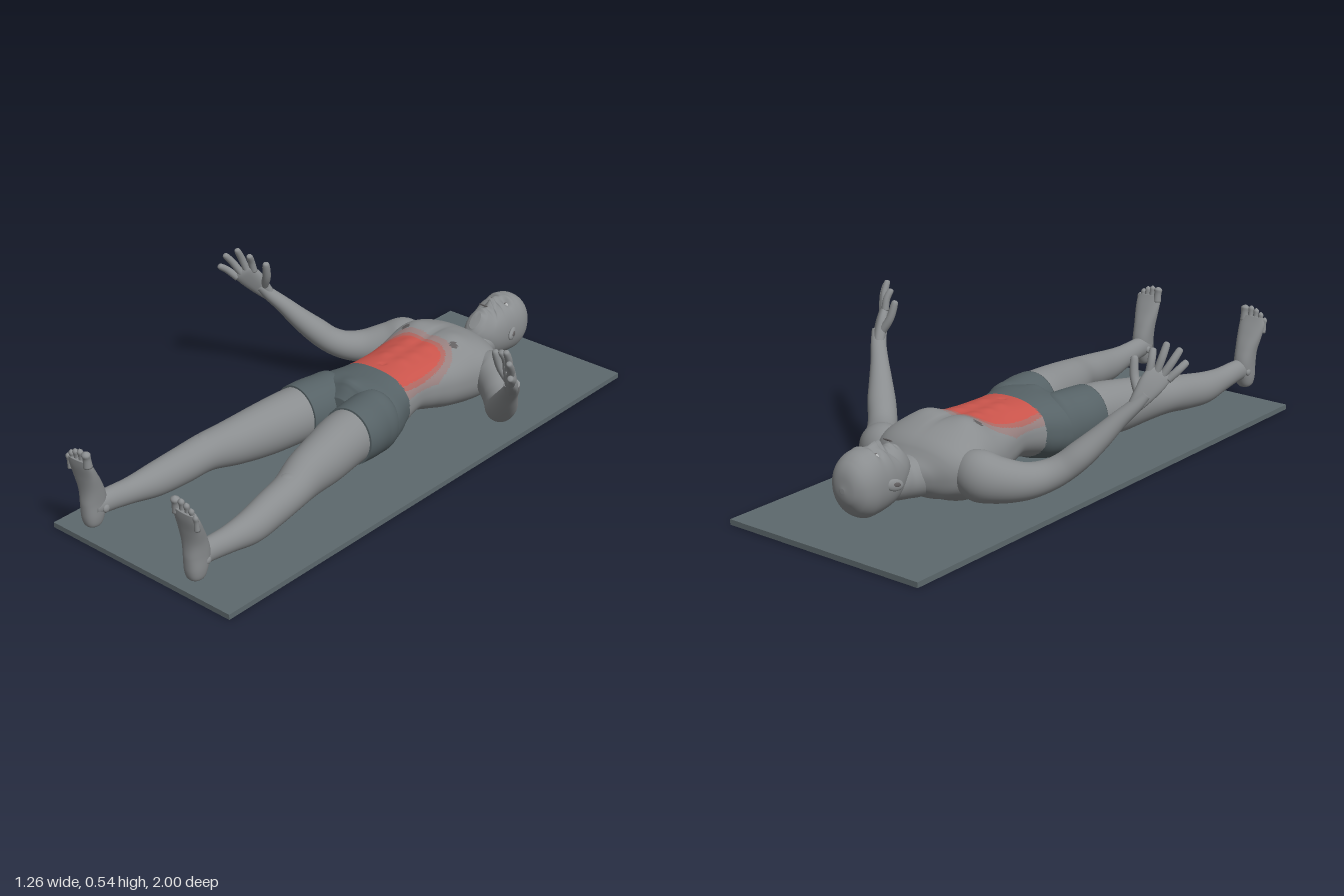
import * as THREE from 'three';

const mat = (name, color) => Object.assign(new THREE.MeshStandardMaterial({ color }), { name });

// Uniform Catmull-Rom through rows of numbers
function sample(rows, t) {
  const n = rows.length - 1, i = Math.min(Math.floor(t * n), n - 1), f = t * n - i;
  const a = rows[Math.max(i - 1, 0)], b = rows[i], c = rows[i + 1], d = rows[Math.min(i + 2, n)];
  return b.map((_, k) => 0.5 * (2 * b[k] + (c[k] - a[k]) * f + (2 * a[k] - 5 * b[k] + 4 * c[k] - d[k]) * f * f
    + (3 * b[k] - a[k] - 3 * c[k] + d[k]) * f * f * f));
}

// Smooth skin over sections [x, y, z, a, b]; deform moves points, pick chooses a material index
function loft(name, rows, materials, { ref = [0, 1, 0], steps = 48, sides = 32, n = 2, deform, pick } = {}) {
  const pos = [], R = new THREE.Vector3(...ref);
  const at = t => { const s = sample(rows, t); return { c: new THREE.Vector3(s[0], s[1], s[2]), a: Math.max(s[3], 0.001), b: Math.max(s[4], 0.001) }; };
  const add = p => { if (deform) deform(p); pos.push(p.x, p.y, p.z); };
  const sp = v => Math.sign(v) * Math.pow(Math.abs(v), 2 / n);
  for (let i = 0; i <= steps; i++) {
    const t = i / steps, { c, a, b } = at(t);
    const T = at(Math.min(1, t + 0.01)).c.sub(at(Math.max(0, t - 0.01)).c).normalize();
    const U = R.clone().cross(T).normalize(), V = T.clone().cross(U);
    for (let j = 0; j < sides; j++) {
      const q = j / sides * Math.PI * 2;
      add(c.clone().addScaledVector(U, a * sp(Math.cos(q))).addScaledVector(V, b * sp(Math.sin(q))));
    }
  }
  const start = pos.length / 3;
  add(at(0).c); add(at(1).c);
  const lists = [].concat(materials).map(() => []);
  const tri = (...v) => {
    const mid = k => (pos[v[0] * 3 + k] + pos[v[1] * 3 + k] + pos[v[2] * 3 + k]) / 3;
    lists[pick ? pick(mid(0), mid(1), mid(2)) : 0].push(...v);
  };
  for (let j = 0; j < sides; j++) {
    const k = (j + 1) % sides, e = steps * sides;
    for (let i = 0; i < steps; i++) {
      const o = i * sides, u = o + sides;
      tri(o + j, o + k, u + k); tri(o + j, u + k, u + j);
    }
    tri(start, k, j); tri(start + 1, e + j, e + k);
  }
  const g = new THREE.BufferGeometry();
  g.setAttribute('position', new THREE.Float32BufferAttribute(pos, 3));
  g.setIndex(lists.flat());
  if (pick) { let o = 0; lists.forEach((l, m) => { g.addGroup(o, l.length, m); o += l.length; }); }
  g.computeVertexNormals();
  const mesh = new THREE.Mesh(g, materials);
  mesh.name = name;
  return mesh;
}

const bump = (x, z, cx, cz, sx, sz) => Math.exp(-(((x - cx) / sx) ** 2) - ((z - cz) / sz) ** 2);

export function createModel() {
  const skin = mat('skin', 0x8a8d8f), shorts = mat('shorts', 0x566266), matGrey = mat('matGrey', 0x5d696d);
  const red = mat('highlightRed', 0xc9544b), fade = mat('highlightEdge', 0xae6761), faint = mat('highlightFaint', 0x97807f);
  const dark = mat('darkSkin', 0x625f60), white = mat('eyeWhite', 0xb4b6b7);
  const body = new THREE.Group();
  body.name = 'lyingFigure';

  // Mat
  const floor = new THREE.Mesh(new THREE.BoxGeometry(0.76, 0.018, 1.975), matGrey);
  floor.name = 'mat';
  floor.position.set(0, 0.009, -0.0125);
  body.add(floor);

  const ball = (name, m, p, s) => {
    const b = new THREE.Mesh(new THREE.SphereGeometry(1, 20, 14), m);
    b.name = name; b.position.set(...p); b.scale.set(...s);
    body.add(b);
    return b;
  };
  // Sections along z given as [z, halfWidth, top, bottom]
  const alongZ = rows => rows.map(([z, w, t, b]) => [0, (t + b) / 2, z, w, (t - b) / 2]);

  // Torso: chest and belly relief, highlighted abdomen, shorts below the waist
  body.add(loft('torso', alongZ([
    [-0.63, 0.05, 0.165, 0.085], [-0.605, 0.1, 0.19, 0.07], [-0.575, 0.155, 0.22, 0.05], [-0.53, 0.195, 0.255, 0.034],
    [-0.48, 0.2, 0.274, 0.025], [-0.42, 0.19, 0.276, 0.027], [-0.35, 0.175, 0.268, 0.04], [-0.28, 0.156, 0.264, 0.06],
    [-0.2, 0.141, 0.262, 0.078], [-0.115, 0.152, 0.26, 0.063], [-0.05, 0.176, 0.262, 0.04], [0, 0.187, 0.257, 0.033],
    [0.035, 0.165, 0.245, 0.045], [0.07, 0.07, 0.21, 0.09]]),
  [skin, shorts, red, fade, faint, dark], {
    steps: 150, sides: 128, n: 2.35,
    deform(p) {
      const x = Math.abs(p.x), z = p.z;
      if (p.y > 0.17) {
        const w = Math.min(1, (p.y - 0.17) / 0.06);
        p.y += w * (0.016 * bump(x, z, 0.085, -0.425, 0.06, 0.05) - 0.006 * bump(x, z, 0, -0.42, 0.012, 0.08)
          + 0.005 * bump(x, z, 0.04, -0.33, 0.025, 0.022) + 0.005 * bump(x, z, 0.038, -0.27, 0.025, 0.022)
          + 0.005 * bump(x, z, 0.036, -0.21, 0.025, 0.022) - 0.008 * bump(x, z, 0, -0.153, 0.007, 0.007)
          + 0.012 * bump(x, z, 0, 0.03, 0.035, 0.04));
      } else if (z < -0.05) p.y += 0.008 * bump(x, z, 0, -0.3, 0.02, 0.25);
    },
    pick(x, y, z) {
      if (z > -0.115) return 1;
      if (y < 0.19) return 0;
      if (Math.hypot(Math.abs(x) - 0.105, z + 0.4) < 0.013) return 5;
      const d = (Math.abs(x / 0.12) ** 4 + Math.abs(Math.min(0, z + 0.2) / 0.16) ** 4) ** 0.25;
      return d < 1 ? 2 : d < 1.1 ? 3 : d < 1.25 ? 4 : 0;
    }
  }));

  // Neck and head, face upward
  body.add(loft('neck', alongZ([[-0.74, 0.055, 0.19, 0.085], [-0.68, 0.06, 0.2, 0.075], [-0.64, 0.064, 0.195, 0.068],
    [-0.6, 0.085, 0.2, 0.062], [-0.54, 0.1, 0.2, 0.06]]), skin, { steps: 24 }));
  body.add(loft('head', alongZ([[-0.653, 0.018, 0.262, 0.2], [-0.662, 0.038, 0.274, 0.17], [-0.69, 0.059, 0.27, 0.115],
    [-0.73, 0.072, 0.271, 0.078], [-0.78, 0.08, 0.275, 0.066], [-0.83, 0.082, 0.277, 0.066], [-0.868, 0.07, 0.256, 0.086],
    [-0.892, 0.043, 0.218, 0.122], [-0.901, 0.008, 0.178, 0.162]]), skin, {
    steps: 110, sides: 96, n: 2.15,
    deform(p) {
      if (p.y < 0.2) return;
      const x = Math.abs(p.x), z = p.z;
      p.y += 0.026 * bump(x, z, 0, -0.735, 0.011, 0.015) + 0.012 * bump(x, z, 0, -0.762, 0.008, 0.022)
        + 0.008 * bump(x, z, 0.014, -0.731, 0.007, 0.007) - 0.012 * bump(x, z, 0.032, -0.784, 0.017, 0.011)
        + 0.005 * bump(x, z, 0.03, -0.803, 0.025, 0.009) + 0.006 * bump(x, z, 0, -0.704, 0.022, 0.005)
        + 0.006 * bump(x, z, 0, -0.693, 0.018, 0.005) - 0.004 * bump(x, z, 0, -0.681, 0.025, 0.005)
        + 0.006 * bump(x, z, 0, -0.668, 0.018, 0.01);
    }
  }));
  ball('mouthLine', dark, [0, 0.274, -0.6985], [0.02, 0.003, 0.0015]);

  for (const s of [1, -1]) {
    const side = s > 0 ? 'left' : 'right';
    const flip = rows => rows.map(r => [r[0] * s, ...r.slice(1)]);
    const limb = (name, rows, m, o) => body.add(loft(side + name, flip(rows), m, o));

    // Eyes and ears
    ball(side + 'Eye', white, [s * 0.031, 0.253, -0.785], [0.012, 0.0095, 0.0065]);
    ball(side + 'Iris', dark, [s * 0.031, 0.2595, -0.785], [0.0045, 0.004, 0.0045]);
    ball(side + 'Ear', skin, [s * 0.083, 0.168, -0.762], [0.009, 0.019, 0.031]).rotation.set(0.25, s * 0.3, 0);
    ball(side + 'EarHollow', dark, [s * 0.09, 0.17, -0.76], [0.004, 0.008, 0.014]).rotation.set(0.25, s * 0.3, 0);

    // Legs
    limb('ShortsLeg', [[0.085, 0.147, -0.06, 0.06, 0.07], [0.093, 0.145, -0.01, 0.092, 0.107], [0.101, 0.148, 0.05, 0.097, 0.107],
      [0.109, 0.152, 0.1, 0.098, 0.103], [0.113, 0.154, 0.15, 0.094, 0.099]], shorts, { sides: 48 });
    limb('Leg', [[0.106, 0.152, 0.08, 0.088, 0.094], [0.116, 0.153, 0.18, 0.088, 0.094], [0.135, 0.146, 0.29, 0.081, 0.09],
      [0.155, 0.143, 0.4, 0.071, 0.078], [0.183, 0.138, 0.5, 0.061, 0.063], [0.195, 0.126, 0.6, 0.056, 0.061],
      [0.207, 0.117, 0.7, 0.05, 0.056], [0.212, 0.122, 0.8, 0.039, 0.043], [0.215, 0.13, 0.89, 0.033, 0.038],
      [0.219, 0.13, 0.955, 0.03, 0.036]], skin, { steps: 72, sides: 40 });
    ball(side + 'Kneecap', skin, [s * 0.183, 0.177, 0.5], [0.034, 0.025, 0.045]);
    for (const x of [0.185, 0.249]) ball(side + 'AnkleBone', skin, [s * x, 0.125, 0.925], [0.008, 0.013, 0.013]);

    // Feet, soles toward the front
    limb('Foot', [[0.222, 0.06, 0.953, 0.006, 0.008], [0.222, 0.07, 0.952, 0.024, 0.026], [0.222, 0.1, 0.948, 0.032, 0.037],
      [0.222, 0.15, 0.943, 0.034, 0.043], [0.222, 0.2, 0.95, 0.038, 0.035], [0.224, 0.25, 0.965, 0.046, 0.025],
      [0.226, 0.29, 0.979, 0.05, 0.017], [0.227, 0.315, 0.986, 0.044, 0.011]], skin, { ref: [0, 0, 1], n: 2.3 });
    [[0.189, 0.35, 0.015], [0.214, 0.351, 0.0105], [0.235, 0.345, 0.01], [0.254, 0.334, 0.0095], [0.27, 0.317, 0.009]].forEach(([x, y, r], i) =>
      limb('Toe' + (i + 1), [[x, y - 0.055, 0.982, r, r], [x, y - 0.025, 0.985, r * 0.9, r * 0.8], [x, y - 0.009, 0.988, r, r * 0.9],
        [x, y, 0.989, r * 0.2, r * 0.2]], skin, { ref: [0, 0, 1], steps: 14, sides: 14 }));

    // Arms
    limb('Arm', [[0.12, 0.15, -0.49, 0.05, 0.06], [0.19, 0.148, -0.505, 0.071, 0.082], [0.245, 0.134, -0.47, 0.066, 0.073],
      [0.297, 0.126, -0.413, 0.056, 0.06], [0.338, 0.136, -0.358, 0.05, 0.051], [0.374, 0.161, -0.315, 0.048, 0.046],
      [0.41, 0.2, -0.279, 0.047, 0.044], [0.45, 0.25, -0.238, 0.039, 0.037], [0.49, 0.305, -0.198, 0.03, 0.028],
      [0.526, 0.35, -0.162, 0.026, 0.022], [0.545, 0.385, -0.135, 0.026, 0.018]], skin, { steps: 72, sides: 36 });

    // Hands, palms turned inward
    const hand = { ref: [-0.68 * s, -0.23, 0.69], steps: 20, sides: 16 };
    limb('Palm', [[0.524, 0.346, -0.164, 0.022, 0.018], [0.538, 0.376, -0.142, 0.031, 0.02], [0.552, 0.41, -0.116, 0.039, 0.019],
      [0.565, 0.44, -0.09, 0.039, 0.014], [0.57, 0.452, -0.082, 0.03, 0.007]], skin, { ...hand, sides: 28, n: 2.5 });
    const finger = (name, a, b, c, r) => limb(name, [[...a, r, r], [...b, r, r * 0.95],
      c.map((v, k) => v - (v - b[k]) * 0.15).concat(r * 0.85, r * 0.8), [...c, r * 0.2, r * 0.2]], skin, hand);
    [['IndexFinger', [0.541, 0.447, -0.11], [0.535, 0.517, -0.082]], ['MiddleFinger', [0.557, 0.442, -0.097], [0.572, 0.537, -0.06]],
      ['RingFinger', [0.572, 0.434, -0.085], [0.604, 0.517, -0.033]], ['LittleFinger', [0.585, 0.422, -0.074], [0.62, 0.475, -0.02]]]
      .forEach(([name, a, c]) => finger(name, a, a.map((v, k) => (v + c[k]) / 2 + [0.004 * s * s, 0.002, -0.004][k]), c, 0.0125));
    finger('Thumb', [0.533, 0.375, -0.147], [0.502, 0.428, -0.131], [0.488, 0.492, -0.115], 0.0145);
  }

  const model = new THREE.Group();
  model.name = 'figureOnMat';
  model.add(body);
  return model;
}
